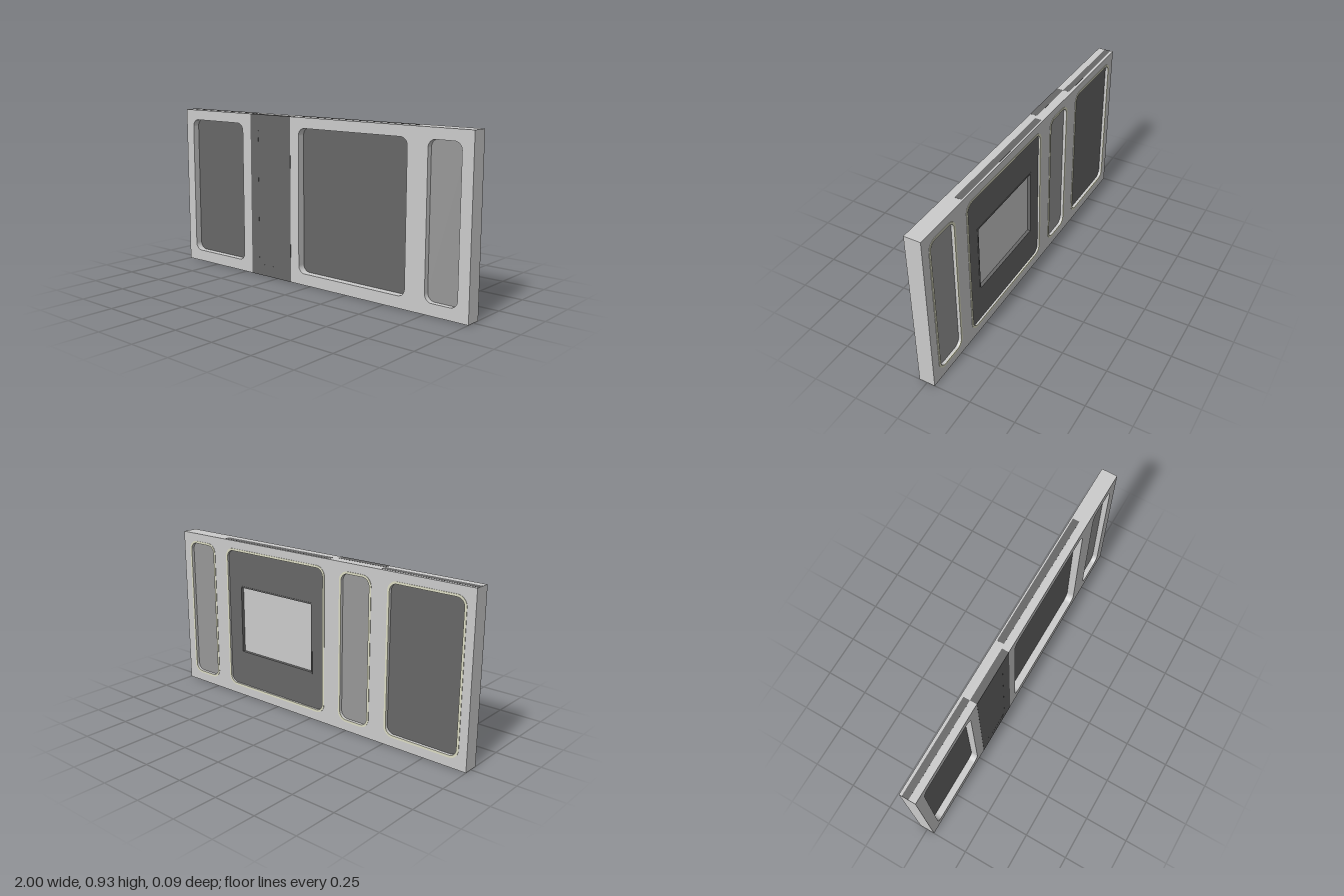
import * as THREE from 'three';

const H = 0.93;
const Y0 = 0.065, Y1 = 0.872; // window sill and head

// Outline of a rounded rectangle; r = 0 gives square corners
function outline(Type, x0, x1, y0, y1, r) {
  const p = new Type();
  p.moveTo(x0 + r, y0);
  p.lineTo(x1 - r, y0);
  if (r) p.absarc(x1 - r, y0 + r, r, -Math.PI / 2, 0);
  p.lineTo(x1, y1 - r);
  if (r) p.absarc(x1 - r, y1 - r, r, 0, Math.PI / 2);
  p.lineTo(x0 + r, y1);
  if (r) p.absarc(x0 + r, y1 - r, r, Math.PI / 2, Math.PI);
  p.lineTo(x0, y0 + r);
  if (r) p.absarc(x0 + r, y0 + r, r, Math.PI, Math.PI * 1.5);
  return p;
}

export function createModel() {
  const group = new THREE.Group();
  const grey = new THREE.MeshStandardMaterial({ color: 0xcccccc });
  const dark = new THREE.MeshStandardMaterial({ color: 0x676767 });
  const mid = new THREE.MeshStandardMaterial({ color: 0x989898 });
  const cream = new THREE.MeshStandardMaterial({ color: 0xdcdcc4 });

  // Plate between two depths, with optional holes
  function plate(name, material, shape, z0, z1, holes = []) {
    shape.holes.push(...holes);
    const geo = new THREE.ExtrudeGeometry(shape, { depth: z1 - z0, bevelEnabled: false, curveSegments: 8 });
    const mesh = new THREE.Mesh(geo, material);
    mesh.name = name;
    mesh.position.z = z0;
    group.add(mesh);
  }
  const rect = (x0, x1, y0, y1, r = 0) => outline(THREE.Shape, x0, x1, y0, y1, r);
  const hole = (x0, x1, y0, y1, r = 0) => outline(THREE.Path, x0, x1, y0, y1, r);

  const windows = [[-0.94, -0.515], [-0.39, -0.21], [-0.085, 0.628], [0.748, 0.936]];
  const R = 0.042;

  // Wall with four rounded openings
  plate('wall', grey, rect(-1, 1, 0, H), -0.045, 0.045,
    windows.map(([a, b]) => hole(a, b, Y0, Y1, R)));

  // Slim trim around each opening on the back
  const t = 0.013;
  for (const [a, b] of windows) {
    plate('windowTrim', cream, rect(a - t, b + t, Y0 - t, Y1 + t, R + t), -0.0475, -0.042,
      [hole(a, b, Y0, Y1, R)]);
  }

  // Sliding panels, flush with the top of the wall
  const top = H + 0.0006;
  plate('endSlidingPanel', dark, rect(-0.999, -0.45, 0.001, top), -0.03, 0.006);
  plate('narrowFrontPanel', dark, rect(-0.45, -0.145, 0, top), 0.006, 0.0456,
    [hole(-0.39, -0.21, Y0, Y1, R)]);
  plate('narrowFrontPane', dark, rect(-0.39, -0.21, Y0, Y1, R), 0.006, 0.0452);

  // Wide panel with a rectangular recess for the screen on its back
  const S = [-0.005, 0.54, 0.265, 0.67];
  plate('widePanelFront', dark, rect(-0.12, 0.66, 0.001, top), -0.014, 0.002);
  plate('widePanelBack', dark, rect(-0.12, 0.66, 0.001, top), -0.036, -0.014, [hole(...S)]);
  const f = 0.008;
  plate('screenFrame', dark, rect(...S), -0.038, -0.014,
    [hole(S[0] + f, S[1] - f, S[2] + f, S[3] - f)]);
  plate('screen', grey, rect(S[0] + f, S[1] - f, S[2] + f, S[3] - f), -0.02, -0.014);

  // Fixed panes in the two narrow openings
  plate('narrowPane', mid, rect(-0.41, -0.19, Y0 - 0.02, Y1 + 0.02), -0.03, 0.004);
  plate('endPane', mid, rect(0.728, 0.956, Y0 - 0.02, Y1 + 0.02), -0.03, 0.015);

  return group;
}
